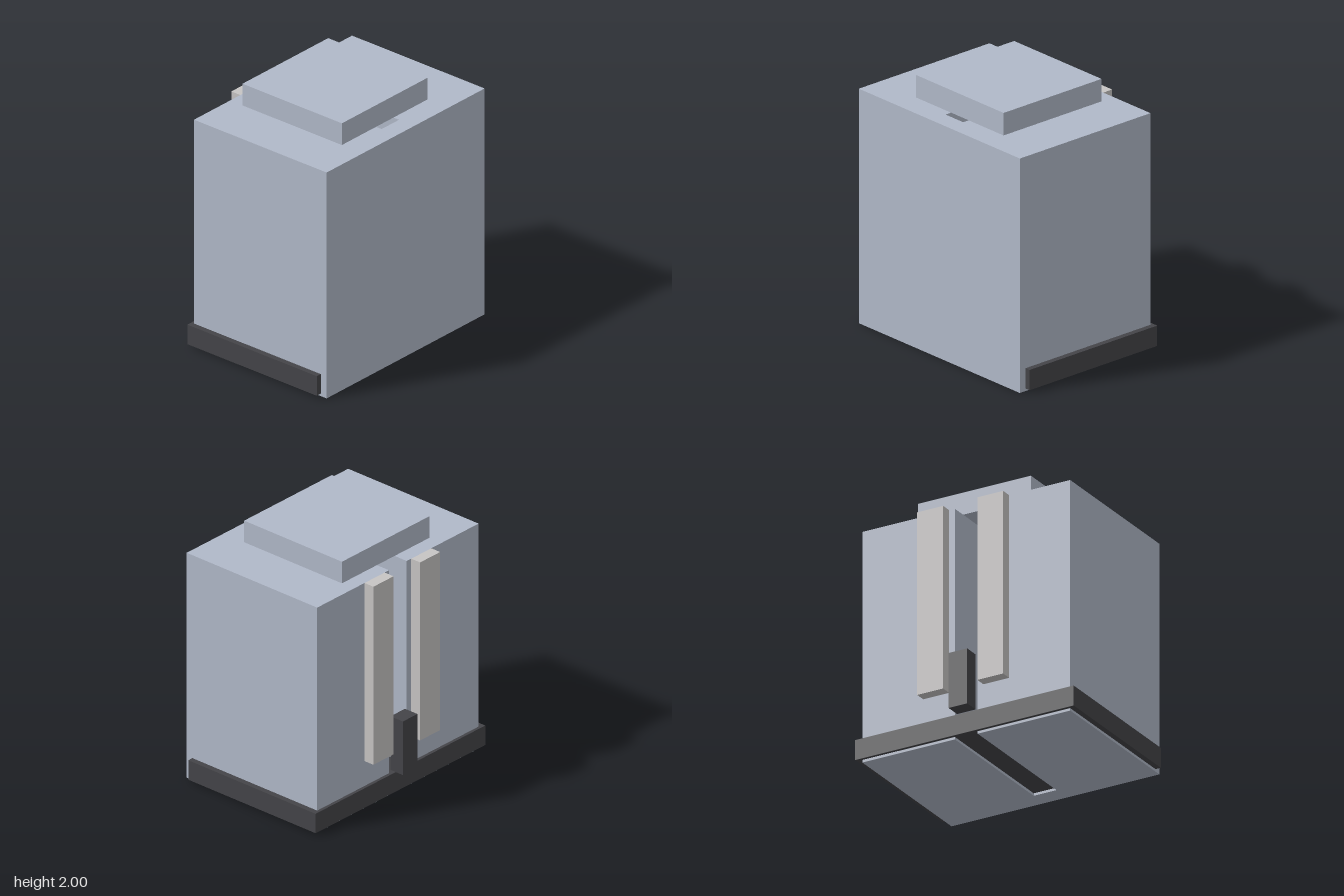
import * as THREE from 'three';

const material = (name, color) => {
  const m = new THREE.MeshStandardMaterial({ color });
  m.name = name;
  return m;
};

export function createModel() {
  const group = new THREE.Group();
  const blueGrey = material('blue grey', 0xb0b8c8);
  const charcoal = material('charcoal', 0x444448);
  const lightGrey = material('light grey', 0xc6c4c3);

  // Box given by its lower and upper limits on each axis
  const block = (name, mat, [x0, x1], [y0, y1], [z0, z1]) => {
    const mesh = new THREE.Mesh(new THREE.BoxGeometry(x1 - x0, y1 - y0, z1 - z0), mat);
    mesh.position.set((x0 + x1) / 2, (y0 + y1) / 2, (z0 + z1) / 2);
    mesh.name = name;
    group.add(mesh);
  };

  // Body: block with a slot open at the back, running through its full height
  const outline = [
    [-0.868, 0.688], [0.864, 0.688], [0.864, -0.57], [0.093, -0.57],
    [0.093, 0.543], [-0.097, 0.543], [-0.097, -0.57], [-0.868, -0.57],
  ];
  const shape = new THREE.Shape(outline.map(([x, z]) => new THREE.Vector2(x, -z)));
  const bodyGeometry = new THREE.ExtrudeGeometry(shape, { depth: 1.825, bevelEnabled: false });
  bodyGeometry.rotateX(-Math.PI / 2);
  const body = new THREE.Mesh(bodyGeometry, blueGrey);
  body.name = 'slottedBody';
  group.add(body);

  // Cap over the slot
  block('topCap', blueGrey, [-0.472, 0.468], [1.825, 2], [-0.453, 0.49]);

  // Base band, passing through the body and closing the slot
  block('basePlate', charcoal, [-0.912, 0.908], [0.02, 0.178], [-0.595, 0.633]);

  // Back rails on either side of the slot
  block('rightRail', lightGrey, [-0.36, -0.145], [0.38, 1.825], [-0.656, -0.57]);
  block('leftRail', lightGrey, [0.14, 0.356], [0.38, 1.825], [-0.656, -0.57]);

  // Latch block at the foot of the slot
  block('backLatch', charcoal, [-0.08, 0.075], [0.197, 0.632], [-0.688, -0.568]);

  return group;
}
